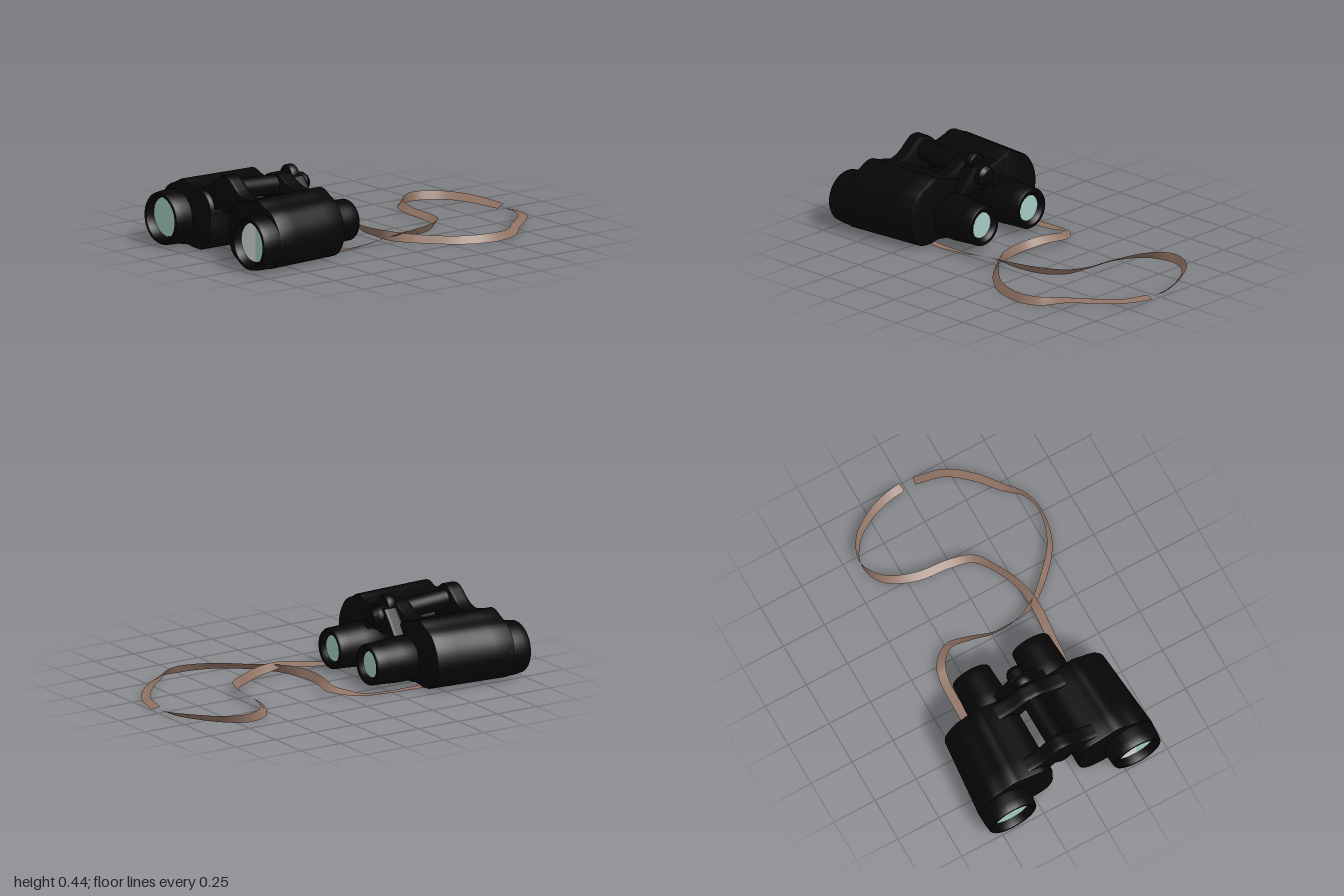
import * as THREE from 'three';
import { mergeVertices, toCreasedNormals } from 'three/addons/utils/BufferGeometryUtils.js';

const AXIS = -0.055; // x of the central hinge
const std = (name, color, side = THREE.FrontSide) => {
  const m = new THREE.MeshStandardMaterial({ color, side });
  m.name = name;
  return m;
};

function add(parent, name, geometry, material, x = 0, y = 0, z = 0) {
  const mesh = new THREE.Mesh(geometry, material);
  mesh.name = name;
  mesh.position.set(x, y, z);
  parent.add(mesh);
  return mesh;
}

// Turned part along z from [radius, z] pairs
function turned(profile, segments = 36) {
  const g = new THREE.LatheGeometry(profile.map(([r, z]) => new THREE.Vector2(r, z)), segments);
  g.rotateX(Math.PI / 2);
  return toCreasedNormals(g, 0.6);
}

// Outline in x/y extruded from z0 to z1 with softened edges
function prism(points, z0, z1, bevel) {
  const g = new THREE.ExtrudeGeometry(new THREE.Shape(points), {
    depth: z1 - z0 - 2 * bevel, bevelEnabled: true, bevelThickness: bevel,
    bevelSize: bevel, bevelOffset: -bevel, bevelSegments: 2, steps: 4,
  });
  g.translate(0, 0, z0 + bevel);
  return g;
}

function smooth(g) {
  g.deleteAttribute('normal');
  g.deleteAttribute('uv');
  return toCreasedNormals(mergeVertices(g, 1e-4), 0.7);
}

// Ribbon through rows of [x, z, y, tilt]; tilt 0 lies flat, a quarter turn stands on edge
function ribbon(rows, width, segments) {
  const path = new THREE.CatmullRomCurve3(rows.map(([x, z, y]) => new THREE.Vector3(x, y, z)));
  const pos = [], index = [];
  for (let i = 0; i <= segments; i++) {
    const t = i / segments;
    const p = path.getPoint(t), d = path.getTangent(t);
    const f = t * (rows.length - 1), k = Math.min(Math.floor(f), rows.length - 2);
    const tilt = THREE.MathUtils.lerp(rows[k][3], rows[k + 1][3], f - k);
    const side = new THREE.Vector3(d.z, 0, -d.x).normalize().multiplyScalar(Math.cos(tilt));
    side.y = Math.sin(tilt);
    side.multiplyScalar(width / 2);
    for (const s of [-1, 1]) {
      pos.push(p.x + s * side.x, Math.max(0, p.y + s * side.y), p.z + s * side.z);
    }
    if (i < segments) {
      const a = 2 * i;
      index.push(a, a + 2, a + 1, a + 1, a + 2, a + 3);
    }
  }
  const g = new THREE.BufferGeometry();
  g.setAttribute('position', new THREE.Float32BufferAttribute(pos, 3));
  g.setIndex(index);
  g.computeVertexNormals();
  return g;
}

export function createModel() {
  const black = std('blackRubber', 0x060606);
  const glass = std('tealGlass', 0xa4cac1);
  const paleGlass = std('paleGlass', 0xd4dcd7);
  const leather = std('brownLeather', 0x8f7263, THREE.DoubleSide);

  const model = new THREE.Group();
  model.name = 'binoculars';

  // Prism housing: rounded outline, narrower toward the back on its outer side
  const outline = [
    [0.08, 0.1], [0.08, 0.2], [0.085, 0.27], [0.13, 0.325], [0.2, 0.345], [0.265, 0.362],
    [0.305, 0.376], [0.34, 0.37], [0.39, 0.345], [0.45, 0.318], [0.492, 0.27], [0.518, 0.22],
    [0.528, 0.155], [0.513, 0.09], [0.475, 0.04], [0.42, 0.016], [0.36, 0.011], [0.28, 0.02],
    [0.22, 0.012], [0.16, 0.016], [0.11, 0.04],
  ];
  const closed = new THREE.CatmullRomCurve3(
    outline.map(([x, y]) => new THREE.Vector3(x, y, 0)), true);
  const loop = closed.getPoints(63).slice(0, -1).map((p) => new THREE.Vector2(p.x, p.y)).reverse();
  const housing = prism(loop, 0.425, 0.895, 0.012);
  const hp = housing.attributes.position;
  for (let i = 0; i < hp.count; i++) {
    const back = THREE.MathUtils.clamp((0.89 - hp.getZ(i)) / 0.46, 0, 1);
    const x = hp.getX(i);
    hp.setX(i, x - 0.1 * back * Math.max(0, x - 0.09));
  }
  const housingGeo = smooth(housing);

  const barrelGeo = turned([
    [0.1, 0.8], [0.14, 0.82], [0.149, 0.87], [0.147, 0.95], [0.142, 0.99], [0.137, 0.997],
    [0.122, 0.997], [0.114, 0.975], [0.111, 0.945],
  ]);
  const eyepieceGeo = turned([
    [0.07, 0.2], [0.08, 0.18], [0.09, 0.172], [0.106, 0.172], [0.112, 0.182], [0.114, 0.24],
    [0.121, 0.335], [0.121, 0.44], [0.11, 0.46], [0, 0.46],
  ]);
  const eyeGlassGeo = new THREE.CircleGeometry(0.073, 32).rotateY(Math.PI);

  for (const side of [1, -1]) {
    const half = new THREE.Group();
    half.name = side > 0 ? 'leftHalf' : 'rightHalf';
    half.position.x = AXIS;
    half.scale.x = side;
    add(half, 'prismHousing', housingGeo, black);
    add(half, 'objectiveBarrel', barrelGeo, black, 0.378, 0.16);
    add(half, 'eyepiece', eyepieceGeo, black, 0.181, 0.14);
    add(half, 'eyeLens', eyeGlassGeo, glass, 0.181, 0.14, 0.197);
    model.add(half);
  }

  // Front lenses; the left one is split into two tones
  const radius = 0.112;
  add(model, 'rightLens', new THREE.CircleGeometry(radius, 40), glass, -0.428, 0.17, 0.957);
  const split = Math.acos(0.013 / radius);
  const tone = (from, to) => {
    const s = new THREE.Shape();
    s.absarc(0, 0, radius, from, to, false);
    return new THREE.ShapeGeometry(s, 24);
  };
  add(model, 'leftLensOuter', tone(-split, split), glass, 0.322, 0.17, 0.957);
  add(model, 'leftLensInner', tone(split, 2 * Math.PI - split), paleGlass, 0.322, 0.17, 0.957);

  // Arched bridges joining the halves at the hinge
  const arch = [
    [0, 0.445], [0.028, 0.441], [0.06, 0.42], [0.1, 0.385], [0.14, 0.36], [0.18, 0.35],
    [0.225, 0.347], [0.225, 0.25], [0.085, 0.24], [0.05, 0.268], [0.025, 0.246], [0, 0.238],
  ];
  const mirrored = arch.slice(1, -1).reverse().map(([x, y]) => [-x, y]);
  const archPoints = [...arch, ...mirrored].map(([x, y]) => new THREE.Vector2(x, y)).reverse();
  add(model, 'frontBridge', smooth(prism(archPoints, 0.78, 0.865, 0.008)), black, AXIS);
  const rear = archPoints.map(({ x, y }) => {
    const drop = 0.04 * (1 - Math.min(1, Math.abs(x) / 0.14));
    return new THREE.Vector2(x, y > 0.3 ? y - drop : y);
  });
  add(model, 'rearBridge', smooth(prism(rear, 0.44, 0.53, 0.008)), black, AXIS);

  // Crosspiece carrying the eyepieces
  const cross = [[0.055, 0.385], [0.1, 0.33], [0.15, 0.26], [0.13, 0.23], [0.06, 0.25]];
  const crossPoints = [...cross, ...cross.map(([x, y]) => [-x, y]).reverse()]
    .map(([x, y]) => new THREE.Vector2(x, y)).reverse();
  add(model, 'eyepieceBridge', smooth(prism(crossPoints, 0.365, 0.45, 0.008)), black, AXIS);

  // Hinge shaft, end collar and focus wheel
  const shaft = add(model, 'hingeShaft', turned([[0, -0.2], [0.055, -0.2], [0.055, 0.2], [0, 0.2]], 24),
    black, AXIS, 0.355, 0.63);
  shaft.rotation.x = -0.055;
  add(model, 'hingeCollar', turned([[0, 0.395], [0.05, 0.395], [0.056, 0.405], [0.056, 0.435], [0.05, 0.445], [0, 0.445]], 24),
    black, AXIS, 0.389, 0);
  add(model, 'focusWheel', turned([[0, 0.31], [0.038, 0.312], [0.055, 0.335], [0.057, 0.4], [0.057, 0.45], [0, 0.45]], 24),
    black, AXIS, 0.335, 0);

  // Neck strap: two lengths that almost meet behind
  add(model, 'strapRightLength', ribbon([
    [-0.345, 0.57, 0.006, 0], [-0.355, 0.4, 0.008, 0], [-0.355, 0.2, 0.012, 0.1], [-0.348, 0.08, 0.02, 0],
    [-0.32, 0, 0.035, -0.3], [-0.24, -0.062, 0.047, -0.5], [-0.12, -0.042, 0.055, -0.75],
    [0, -0.012, 0.045, -1.0], [0.12, -0.015, 0.04, -1.2], [0.25, -0.05, 0.035, -1.9],
    [0.4, -0.17, 0.03, -2.3], [0.52, -0.32, 0.028, -2.2], [0.565, -0.5, 0.028, -2.0],
    [0.535, -0.62, 0.03, -2.3], [0.45, -0.71, 0.035, -2.85], [0.35, -0.83, 0.035, -3.0],
    [0.22, -0.935, 0.025, -3.0], [0.06, -0.977, 0.016, -2.9],
  ], 0.05, 140), leather);
  add(model, 'strapLeftLength', ribbon([
    [-0.015, -0.977, 0.016, -0.4], [-0.1, -0.965, 0.02, -0.6], [-0.23, -0.92, 0.03, -0.8],
    [-0.36, -0.83, 0.035, -1.0], [-0.42, -0.7, 0.035, -1.4], [-0.36, -0.57, 0.035, -2.2],
    [-0.2, -0.492, 0.035, -2.6], [0, -0.468, 0.035, -2.55], [0.12, -0.43, 0.035, -2.25],
    [0.2, -0.32, 0.035, -2.0], [0.26, -0.17, 0.045, -2.25], [0.275, -0.02, 0.05, -2.75],
    [0.265, 0.15, 0.025, -2.85], [0.25, 0.36, 0.008, -3.1], [0.22, 0.57, 0.006, -3.14],
  ], 0.05, 120), leather);

  return model;
}
